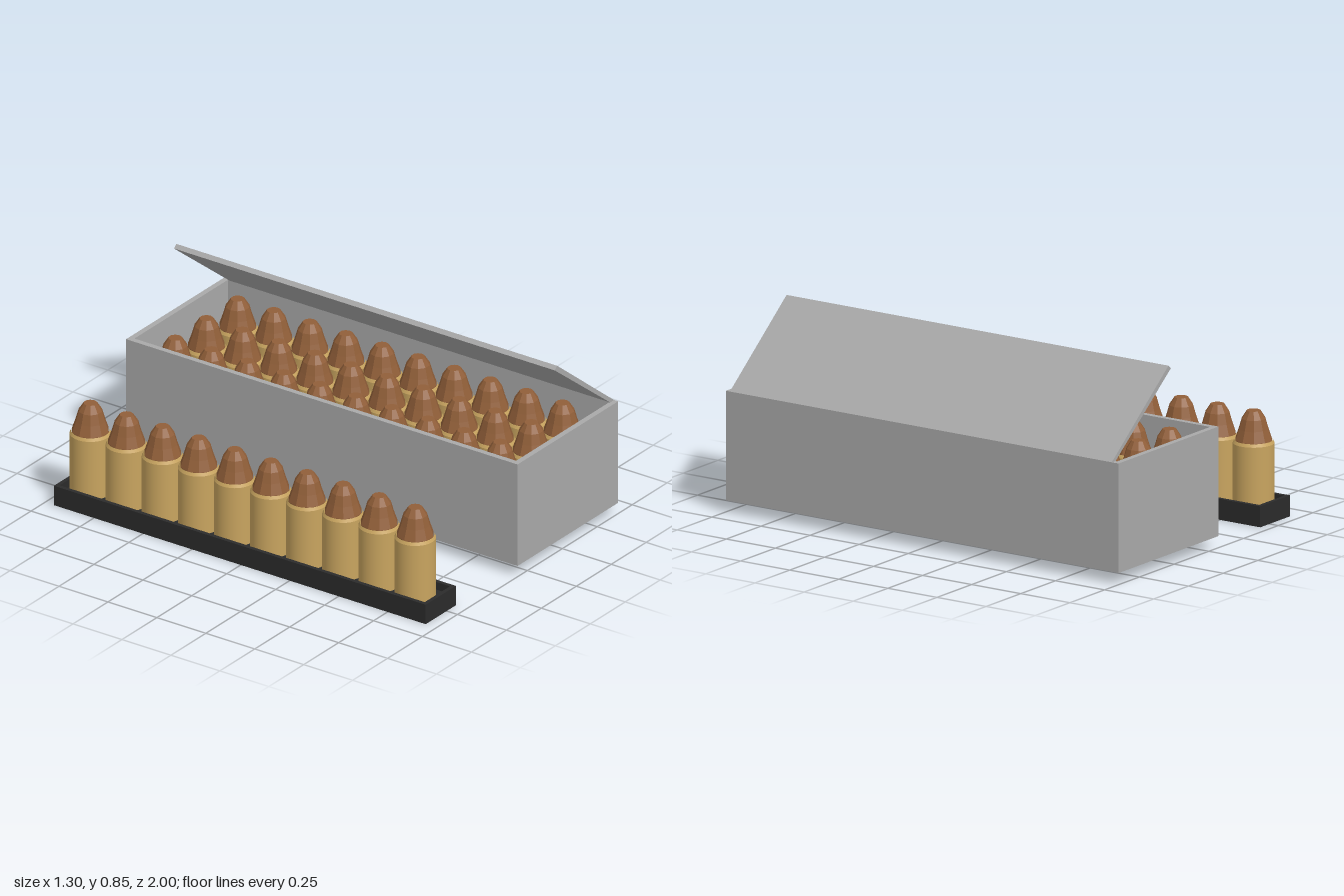
import * as THREE from 'three';
import { mergeGeometries } from 'three/addons/utils/BufferGeometryUtils.js';

const material = (name, color) => Object.assign(new THREE.MeshStandardMaterial({ color }), { name });

// Axis-aligned box given by its limits
function slab(x0, x1, y0, y1, z0, z1) {
  return new THREE.BoxGeometry(x1 - x0, y1 - y0, z1 - z0)
    .translate((x0 + x1) / 2, (y0 + y1) / 2, (z0 + z1) / 2);
}

// Open box: a floor with four walls, without inner overlapping faces
function openBox(x0, x1, y0, y1, z0, z1, wall, floor) {
  const shape = new THREE.Shape([[x0, z0], [x1, z0], [x1, z1], [x0, z1]].map(p => new THREE.Vector2(p[0], -p[1])));
  const a = x0 + wall, b = x1 - wall, c = z0 + wall, d = z1 - wall;
  shape.holes.push(new THREE.Path([[a, c], [a, d], [b, d], [b, c]].map(p => new THREE.Vector2(p[0], -p[1]))));
  const walls = new THREE.ExtrudeGeometry(shape, { depth: y1 - y0, bevelEnabled: false })
    .rotateX(-Math.PI / 2).translate(0, y0, 0);
  return mergeGeometries([walls, slab(a, b, y0, y0 + floor, c, d).toNonIndexed()]);
}

export function createModel() {
  const group = new THREE.Group();
  const grey = material('boxGrey', 0xa9a9a9);
  const black = material('trayBlack', 0x2b2b2b);
  const brass = material('brass', 0xc8a45f);
  const copper = material('copper', 0x915f39);

  const add = (parent, name, geometry, mat) => {
    const mesh = new THREE.Mesh(geometry, mat);
    mesh.name = name;
    parent.add(mesh);
    return mesh;
  };

  // Shared round: smooth casing with a tapered shoulder, faceted tip
  const casingGeo = mergeGeometries([
    new THREE.CylinderGeometry(0.087, 0.087, 0.285, 32, 1, true).translate(0, 0.1825, 0),
    new THREE.CylinderGeometry(0.08, 0.087, 0.013, 32, 1, true).translate(0, 0.3315, 0),
  ]);
  const tipProfile = [[0.08, 0.332], [0.08, 0.338], [0.064, 0.385], [0.051, 0.43], [0.029, 0.464], [0, 0.464]];
  const tipGeo = new THREE.LatheGeometry(
    tipProfile.map(p => new THREE.Vector2(p[0], p[1])), 10, Math.PI / 2).toNonIndexed();
  tipGeo.computeVertexNormals();
  const trayGeo = openBox(-0.108, 0.108, 0, 0.09, -0.955, 0.945, 0.018, 0.055);

  // A tray holding a row of ten rounds
  function loadedTray(name, x, y) {
    const tray = new THREE.Group();
    tray.name = name;
    add(tray, 'tray', trayGeo, black);
    for (let i = 0; i < 10; i++) {
      const z = -0.845 + i * 0.1844;
      add(tray, 'casing', casingGeo, brass).position.z = z;
      add(tray, 'tip', tipGeo, copper).position.z = z;
    }
    tray.position.set(x, y, 0);
    group.add(tray);
  }

  loadedTray('looseTray', -0.542, 0);
  [0.065, 0.288, 0.511].forEach(x => loadedTray('boxedTray', x, 0.055));

  // Carton
  add(group, 'box', openBox(-0.07, 0.65, 0.05, 0.522, -1, 1, 0.025, 0.02), grey);

  // Half-open lid, hinged along the left edge
  const lidShape = new THREE.Shape([[0.622, 0.522], [0.65, 0.522], [0.242, 0.848], [0.225, 0.833]]
    .map(p => new THREE.Vector2(p[0], p[1])));
  const lid = new THREE.ExtrudeGeometry(lidShape, { depth: 1.945, bevelEnabled: false });
  add(group, 'lid', lid.translate(0, 0, -0.966), grey);

  return group;
}
